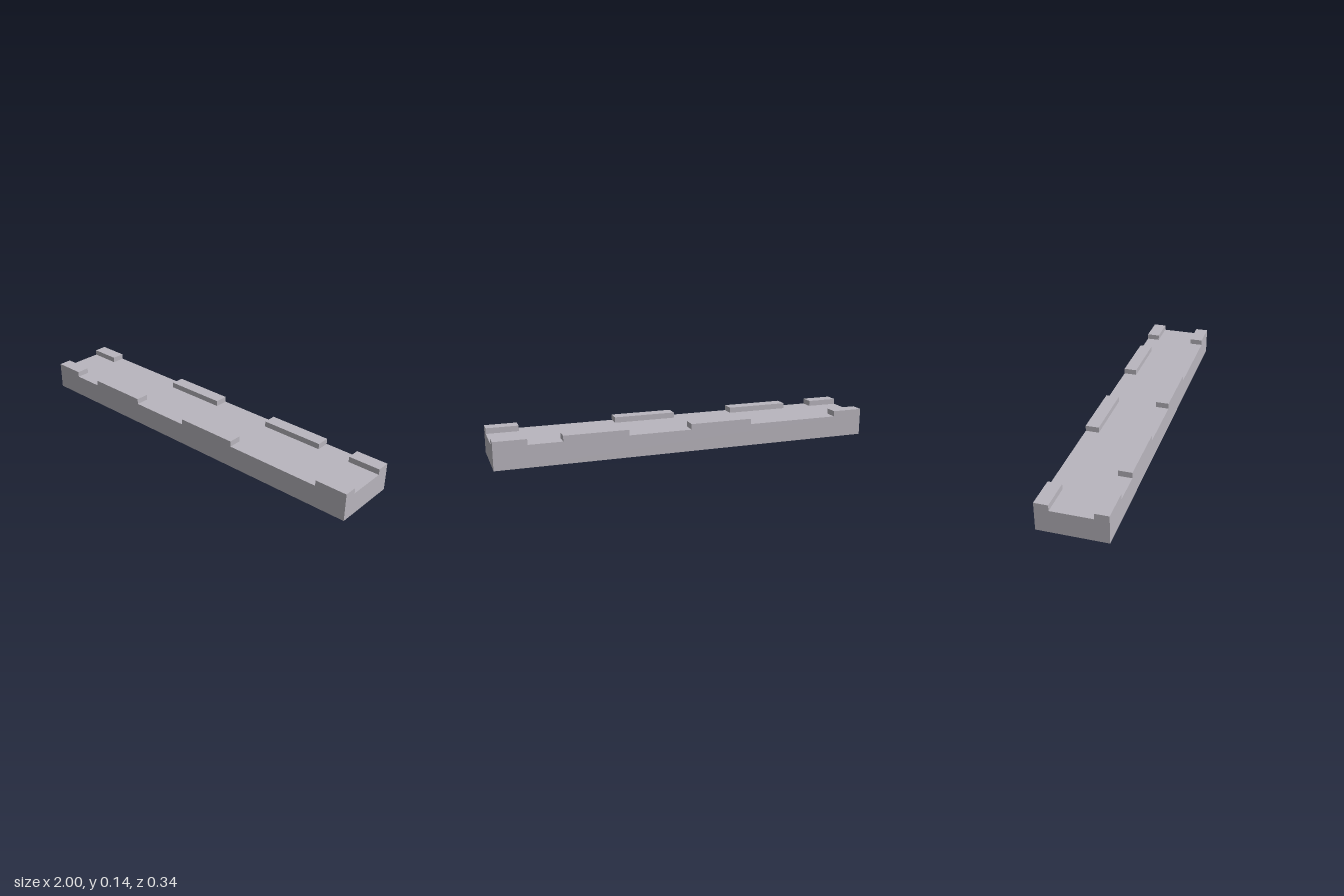
import * as THREE from 'three';

const LENGTH = 2, DEPTH = 0.342, DECK = 0.114, TOP = 0.143, RIM = 0.069;

export function createModel() {
  const model = new THREE.Group();
  model.name = 'wallWalk';
  const stone = new THREE.MeshStandardMaterial({ color: 0xb9b6be });
  stone.name = 'grey stone';

  // Box given by its x range, y range and z range
  function block(name, x0, x1, y0, y1, z0, z1) {
    const mesh = new THREE.Mesh(new THREE.BoxGeometry(x1 - x0, y1 - y0, z1 - z0), stone);
    mesh.position.set((x0 + x1) / 2, (y0 + y1) / 2, (z0 + z1) / 2);
    mesh.name = name;
    model.add(mesh);
  }

  // Solid slab
  block('slab', -LENGTH / 2, LENGTH / 2, 0, DECK, -DEPTH / 2, DEPTH / 2);

  // Raised rim blocks, staggered between the front and back edges
  const ends = [[-1, -0.835], [0.835, 1]];
  const frontSpans = [...ends, [-0.667, -0.333], [0, 0.33]];
  const backSpans = [...ends, [-0.333, 0], [0.33, 0.663]];
  frontSpans.forEach(([a, b], i) =>
    block(`frontRimBlock${i + 1}`, a, b, DECK, TOP, DEPTH / 2 - RIM, DEPTH / 2));
  backSpans.forEach(([a, b], i) =>
    block(`backRimBlock${i + 1}`, a, b, DECK, TOP, -DEPTH / 2, -DEPTH / 2 + RIM));

  return model;
}
